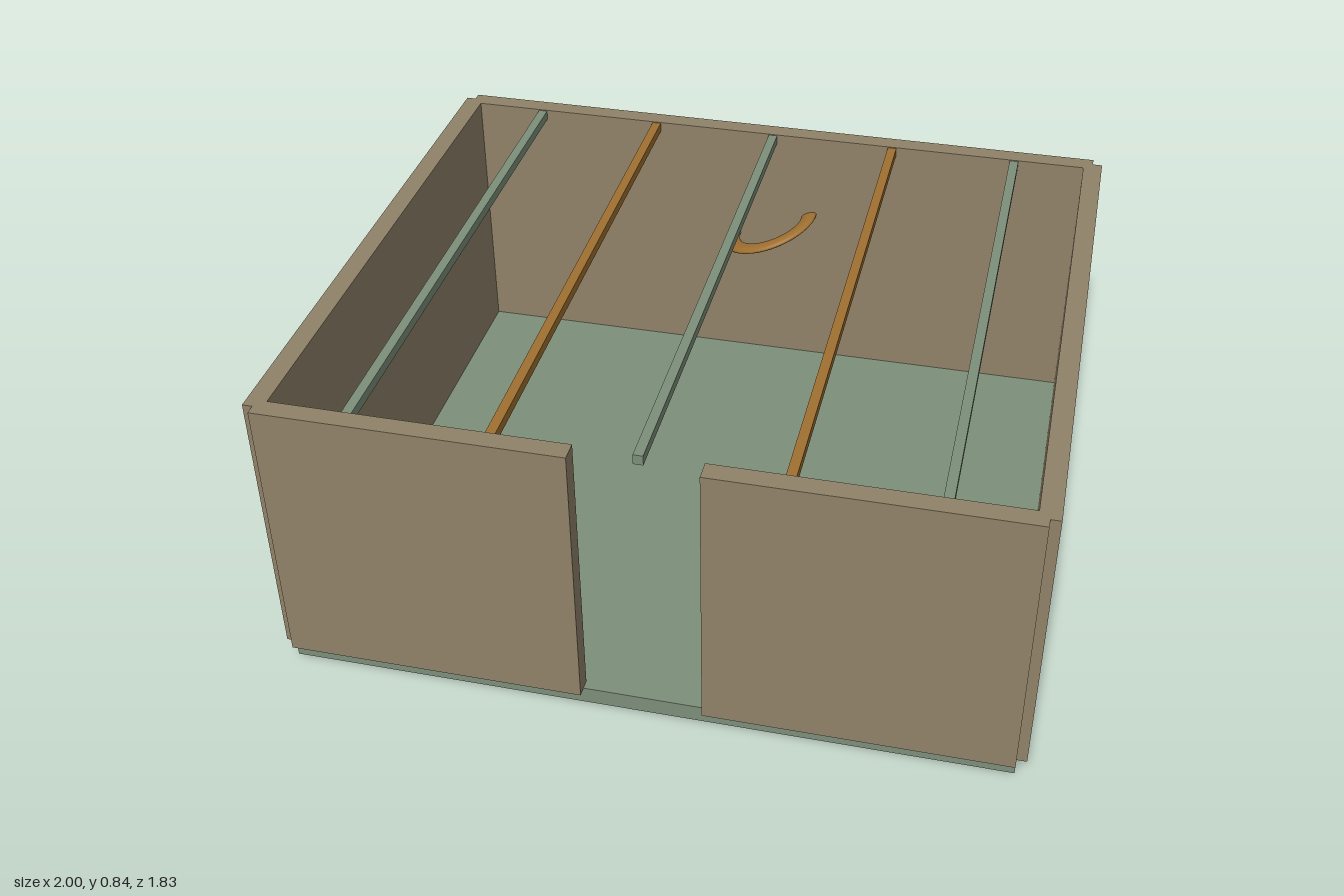
import * as THREE from 'three';

export function createModel() {
  const model = new THREE.Group();
  const paint = (color) => new THREE.MeshStandardMaterial({ color });
  const wallMat = paint(0x908268);
  const greenMat = paint(0x7d8f7a);
  const woodMat = paint(0xa07030);

  // Box given by its lower and upper corners
  function slab(name, mat, x0, x1, y0, y1, z0, z1) {
    const mesh = new THREE.Mesh(new THREE.BoxGeometry(x1 - x0, y1 - y0, z1 - z0), mat);
    mesh.position.set((x0 + x1) / 2, (y0 + y1) / 2, (z0 + z1) / 2);
    mesh.name = name;
    model.add(mesh);
  }

  const edgeX = 0.973, backZ = -0.794, frontZ = 0.889; // floor edges
  const half = 0.027; // half the wall thickness
  const floorTop = 0.049, top = 0.843;
  const gap = 0.163; // half the doorway width

  slab('floor', greenMat, -edgeX, edgeX, 0, floorTop, backZ, frontZ);

  // Walls straddle the floor edges; the front one leaves a doorway
  slab('backWall', wallMat, -edgeX, edgeX, floorTop, top, backZ - half, backZ + half);
  slab('leftWall', wallMat, edgeX - half, edgeX + half, floorTop, top, backZ, frontZ);
  slab('rightWall', wallMat, -edgeX - half, -edgeX + half, floorTop, top, backZ, frontZ);
  slab('frontWallLeft', wallMat, gap, edgeX, floorTop, top, frontZ - half, frontZ + half);
  slab('frontWallRight', wallMat, -edgeX, -gap, floorTop, top, frontZ - half, frontZ + half);

  // Roof beams in alternating colours
  for (let i = -2; i <= 2; i++) {
    const x = i * 0.37;
    slab('roofBeam', i % 2 ? woodMat : greenMat,
      x - 0.013, x + 0.013, top - 0.031, top - 0.003, backZ + half, frontZ - half + 0.003);
  }

  // Flattened ring passing through the back wall, tilted sideways
  const ringGeo = new THREE.TorusGeometry(0.131, 0.025, 16, 64);
  ringGeo.rotateX(Math.PI / 2);
  ringGeo.scale(1, 0.42, 1);
  const ring = new THREE.Mesh(ringGeo, woodMat);
  ring.name = 'ring';
  ring.rotation.z = 0.385;
  ring.position.set(0, 0.52, -0.76);
  model.add(ring);

  return model;
}
